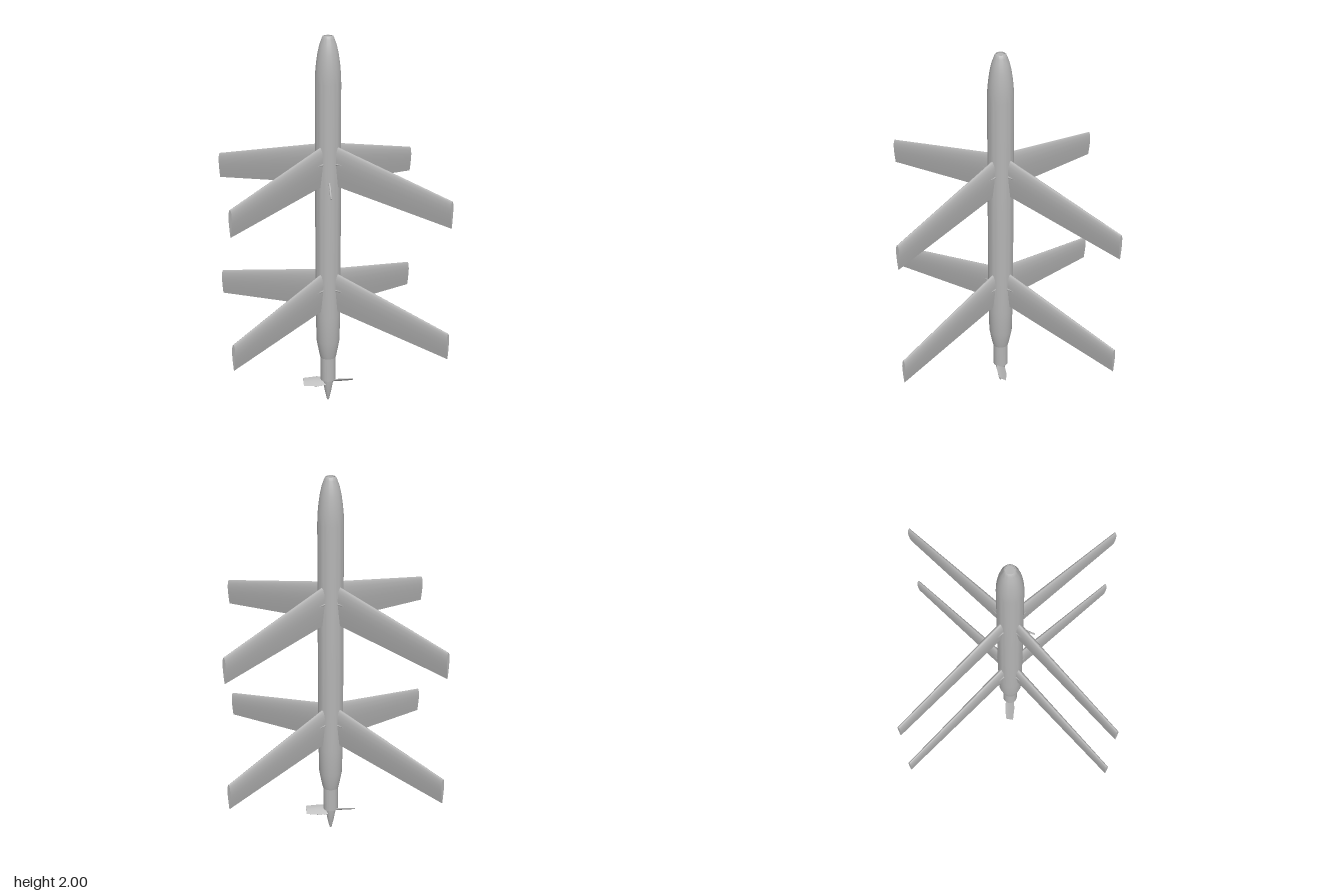
import * as THREE from 'three';
import { mergeVertices, toCreasedNormals } from 'three/addons/utils/BufferGeometryUtils.js';

const grey = new THREE.MeshStandardMaterial({ color: 0xb4b4b4 });
grey.name = 'grey';

// Half aerofoil from trailing to leading edge: [chord fraction, half thickness fraction]
const foil = [[0, 0.12], [0.25, 0.55], [0.5, 0.88], [0.7, 1], [0.86, 0.85], [0.95, 0.55], [0.99, 0.25], [1, 0]];
const ring = [...foil, ...foil.slice(0, -1).reverse().map(([c, t]) => [c, -t])];

// Aerofoil loft along +x; each section is [x, trailing y, leading y, thickness]
function loft(sections) {
  const pos = [], idx = [], n = ring.length;
  for (const [x, y0, y1, t] of sections)
    for (const [c, h] of ring) pos.push(x, y0 + c * (y1 - y0), h * t / 2);
  for (let s = 0; s < sections.length - 1; s++) {
    for (let j = 0; j < n; j++) {
      const k = (j + 1) % n, a = s * n, b = a + n;
      idx.push(a + j, b + j, b + k, a + j, b + k, a + k);
    }
  }
  const tip = (sections.length - 1) * n;
  for (let j = 1; j < n - 1; j++) {
    idx.push(tip, tip + j + 1, tip + j);
    idx.push(0, j, j + 1);
  }
  const g = new THREE.BufferGeometry();
  g.setAttribute('position', new THREE.Float32BufferAttribute(pos, 3));
  g.setIndex(idx);
  return toCreasedNormals(g, 0.7);
}

function add(parent, name, geometry) {
  const m = new THREE.Mesh(geometry, grey);
  m.name = name;
  parent.add(m);
  return m;
}

// Turned part from [radius, y] pairs, bottom to top, with sharp steps kept
function turned(points) {
  const g = new THREE.LatheGeometry(points.map(([r, y]) => new THREE.Vector2(r, y)), 40);
  g.deleteAttribute('normal');
  g.deleteAttribute('uv');
  return toCreasedNormals(mergeVertices(g, 1e-5), 0.45);
}

export function createModel() {
  const model = new THREE.Group();
  model.name = 'drone';

  // Body, nose and tail
  add(model, 'fuselage', turned([
    [0, 0.255], [0.042, 0.255], [0.046, 0.27], [0.062, 0.355], [0.065, 0.5], [0.067, 0.75], [0.067, 1.76],
    [0.0655, 1.81], [0.061, 1.86], [0.054, 1.91], [0.044, 1.955], [0.033, 1.985],
  ]));
  add(model, 'noseRing', turned([[0.033, 1.985], [0.028, 1.997], [0.025, 2], [0.022, 2], [0.022, 1.994], [0, 1.994]]));
  add(model, 'motorHousing', turned([[0, 0.122], [0.04, 0.122], [0.04, 0.262]]));
  add(model, 'spinner', turned([[0, 0], [0.005, 0], [0.008, 0.01], [0.018, 0.055], [0.026, 0.1], [0.028, 0.125]]));

  // Two cross-shaped wing sets, each wing with a hinge fairing near its root
  const wing = loft([[0.03, 1.225, 1.44, 0.036], [0.07, 1.225, 1.435, 0.036], [0.757, 1.137, 1.275, 0.021]]);
  const fairing = new THREE.CylinderGeometry(0.006, 0.011, 0.1, 12).rotateZ(-Math.PI / 2).scale(1, 0.9, 2.2);
  [0, -0.69].forEach((dy, level) => {
    for (let k = 0; k < 4; k++) {
      const arm = new THREE.Group();
      arm.name = (level ? 'rear' : 'front') + 'WingAssembly' + (k + 1);
      arm.rotation.y = Math.PI / 4 + k * Math.PI / 2;
      arm.position.y = dy;
      add(arm, 'wing', wing);
      add(arm, 'hingeFairing', fairing).position.set(0.093, 1.347, 0);
      model.add(arm);
    }
  });

  // Two-bladed pitched propeller
  const blade = loft([[0.01, -0.026, 0.026, 0.012], [0.06, -0.032, 0.032, 0.009], [0.135, -0.024, 0.026, 0.005]]);
  blade.rotateX(0.98);
  const propeller = new THREE.Group();
  propeller.name = 'propeller';
  propeller.position.y = 0.11;
  for (const a of [0, Math.PI]) add(propeller, 'propellerBlade', blade).rotation.y = a;
  model.add(propeller);

  // Slanted probe on the front of the body
  const probe = add(model, 'probe', new THREE.CylinderGeometry(0.006, 0.004, 0.095, 10));
  probe.position.set(0, 1.218, 0.092);
  probe.rotation.x = -0.76;

  return model;
}
